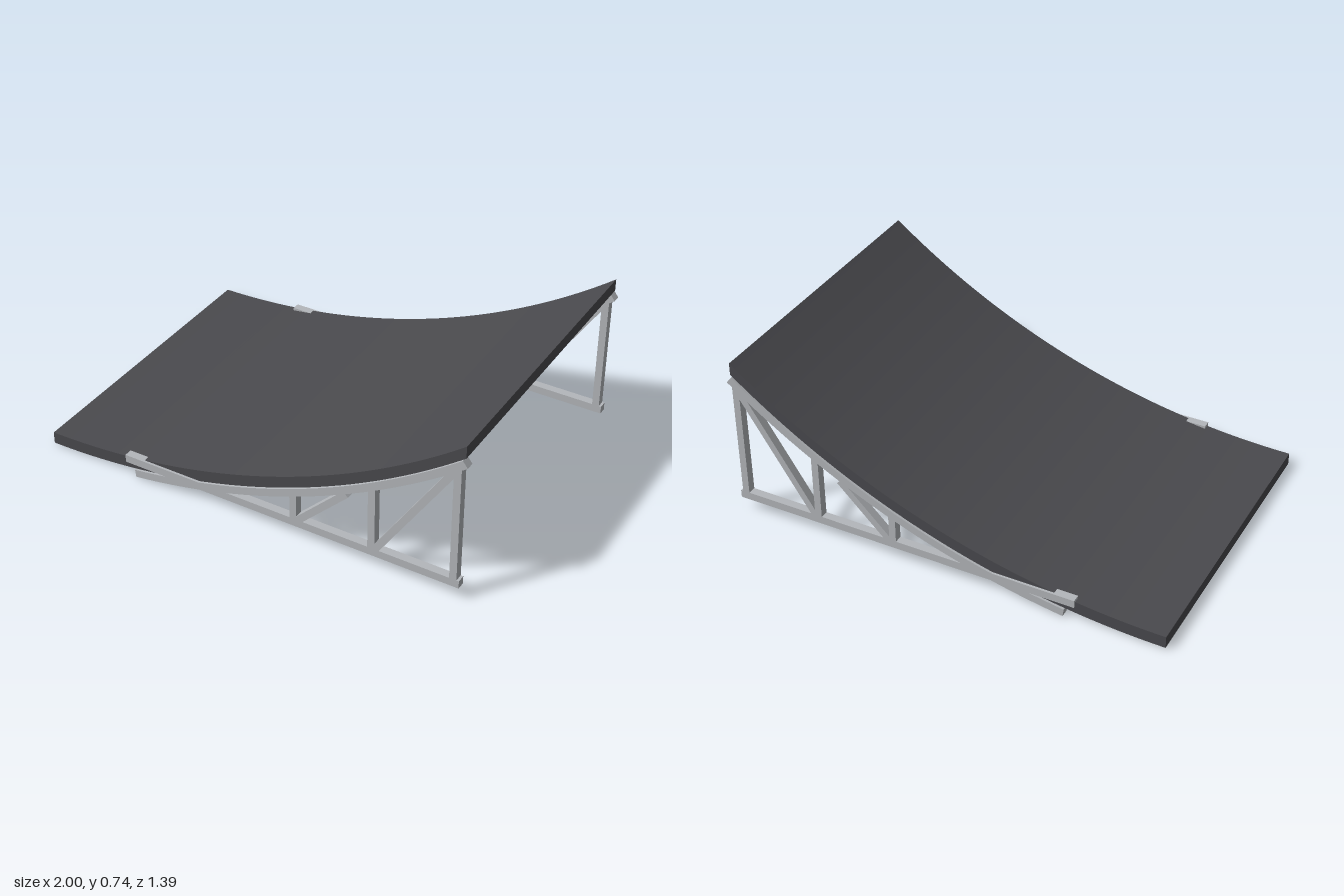
import * as THREE from 'three';
import { toCreasedNormals } from 'three/addons/utils/BufferGeometryUtils.js';

const R = 3.237;      // radius of the ramp curve
const START = -1, END = 0.985;
const DECK = 0.055;   // deck thickness
const BAR = 0.036;    // truss bar thickness
const DEPTH = 0.037;  // truss depth in z

// height of the deck's underside at x
const under = (x) => 0.005 + R - Math.sqrt(R * R - (x - START) ** 2);

// closed outline between two edges sampled along x, extruded about z = 0
function band(x0, x1, steps, upper, lower, depth) {
  const top = [], bottom = [];
  for (let i = 0; i <= steps; i++) {
    const x = x0 + ((x1 - x0) * i) / steps;
    top.push(upper(x));
    bottom.push(lower(x));
  }
  const geo = new THREE.ExtrudeGeometry(new THREE.Shape([...bottom, ...top.reverse()]), { depth, bevelEnabled: false });
  geo.translate(0, 0, -depth / 2);
  return toCreasedNormals(geo, 0.5);
}

export function createModel() {
  const deckMat = new THREE.MeshStandardMaterial({ color: 0x4a4a4e });
  deckMat.name = 'dark grey deck';
  const frameMat = new THREE.MeshStandardMaterial({ color: 0xb4b7bb });
  frameMat.name = 'light grey metal';

  const model = new THREE.Group();
  model.name = 'curvedRamp';
  const add = (parent, name, geo, mat) => {
    const mesh = new THREE.Mesh(geo, mat);
    mesh.name = name;
    parent.add(mesh);
    return mesh;
  };

  // curved deck with vertical ends
  add(model, 'deck', band(START, END, 48,
    (x) => new THREE.Vector2(x, under(x) + DECK),
    (x) => new THREE.Vector2(x, under(x)), 1.37), deckMat);

  // one side truss at each edge of the deck
  for (const side of [1, -1]) {
    const truss = new THREE.Group();
    truss.name = side > 0 ? 'frontTruss' : 'backTruss';
    truss.position.z = side * 0.677;
    model.add(truss);

    // straight bar between two points in the truss plane
    const bar = (name, x0, y0, x1, y1, width = BAR) => {
      const mesh = add(truss, name,
        new THREE.BoxGeometry(Math.hypot(x1 - x0, y1 - y0), width, DEPTH), frameMat);
      mesh.position.set((x0 + x1) / 2, (y0 + y1) / 2, 0);
      mesh.rotation.z = Math.atan2(y1 - y0, x1 - x0);
    };

    // curved chord hugging the underside, with square-cut ends
    add(truss, 'curvedChord', band(-0.56, 0.976, 32,
      (x) => new THREE.Vector2(x, under(x)),
      (x) => {
        const a = Math.asin((x - START) / R);
        return new THREE.Vector2(x + BAR * Math.sin(a), under(x) - BAR * Math.cos(a));
      }, DEPTH), frameMat);

    bar('baseChord', -0.605, 0.079, 0.985, 0.079);

    // upright posts reaching the curved chord
    for (const [x, top] of [[0.23, 0.235], [0.592, 0.41], [0.958, 0.65]]) {
      bar('post', x, 0.08, x, top, 0.032);
    }

    // diagonal braces
    bar('shortBrace', 0.245, 0.09, 0.475, 0.318, 0.032);
    bar('longBrace', 0.605, 0.09, 0.955, 0.63, 0.032);
  }

  return model;
}
